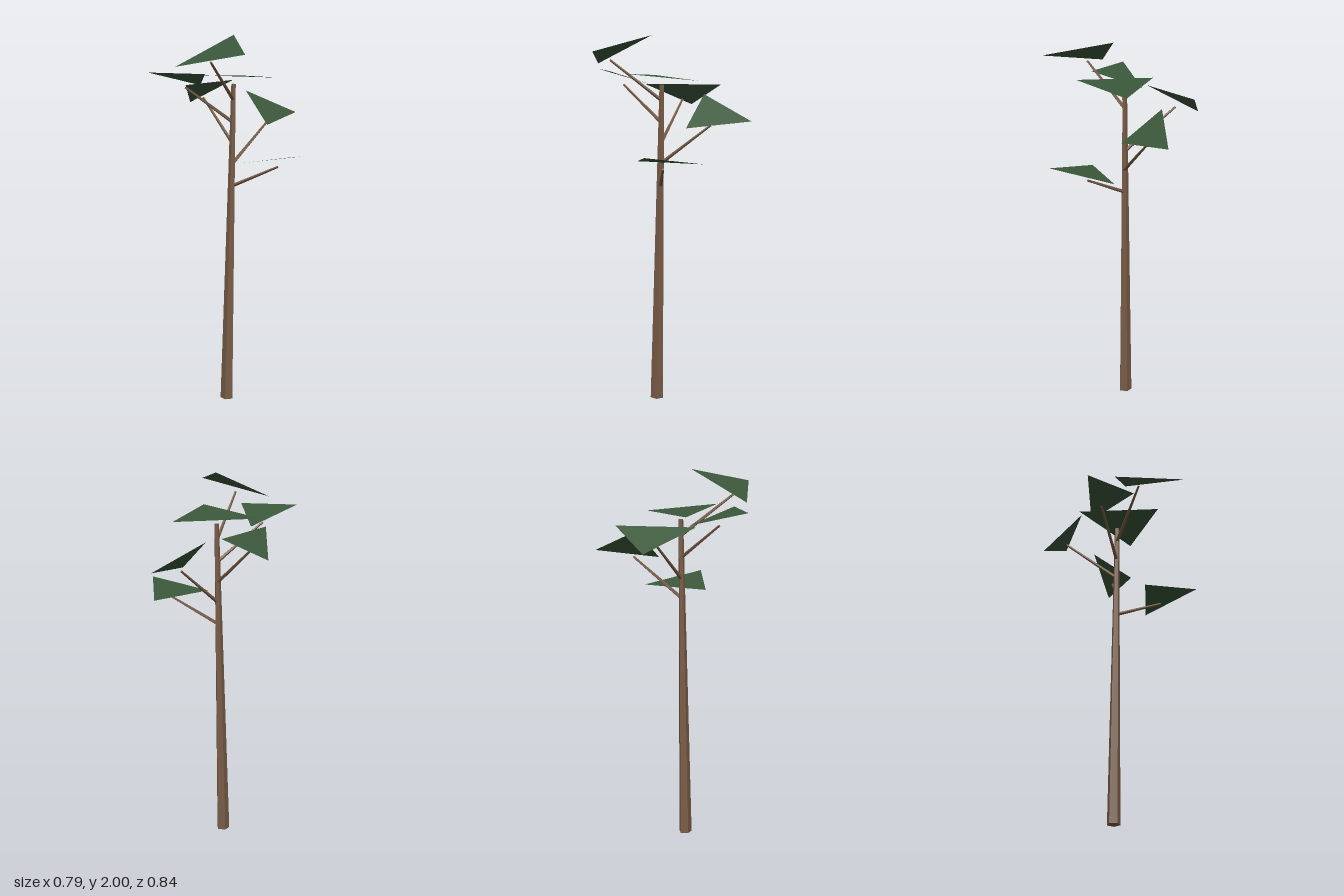
import * as THREE from 'three';

export function createModel() {
  const tree = new THREE.Group();
  tree.name = 'tree';
  const bark = new THREE.MeshStandardMaterial({ color: 0x7a5d47, flatShading: true });
  bark.name = 'bark brown';
  const green = new THREE.MeshStandardMaterial({ color: 0x3b583b, flatShading: true, side: THREE.DoubleSide });
  green.name = 'leaf green';

  // Tapered low-poly limb between two points
  function limb(name, from, to, r0, r1, sides) {
    const a = new THREE.Vector3(...from), b = new THREE.Vector3(...to);
    const dir = b.clone().sub(a);
    const geo = new THREE.CylinderGeometry(r1, r0, dir.length(), sides);
    const mesh = new THREE.Mesh(geo, bark);
    mesh.name = name;
    mesh.position.copy(a).add(b).multiplyScalar(0.5);
    mesh.quaternion.setFromUnitVectors(new THREE.Vector3(0, 1, 0), dir.normalize());
    tree.add(mesh);
  }

  // Flat triangular leaf, wound so that its front faces up
  function leaf(name, corners) {
    const [a, b, c] = corners.map(p => new THREE.Vector3(...p));
    const up = b.clone().sub(a).cross(c.clone().sub(a)).y > 0;
    const geo = new THREE.BufferGeometry().setFromPoints(up ? [a, b, c] : [a, c, b]);
    geo.computeVertexNormals();
    const mesh = new THREE.Mesh(geo, green);
    mesh.name = name;
    tree.add(mesh);
  }

  // Slightly leaning trunk
  limb('trunk', [-0.052, 0.001, 0.035], [-0.018, 1.74, 0.014], 0.036, 0.013, 5);

  // Branches: name, root, tip
  const branches = [
    ['lowerLeftBranch', [-0.025, 1.195, 0.02], [0.24, 1.316, 0.065]],
    ['backLeftBranch', [-0.02, 1.32, 0.016], [0.108, 1.528, -0.223]],
    ['backRightBranch', [-0.025, 1.425, 0.016], [-0.245, 1.645, -0.155]],
    ['frontRightBranch', [-0.02, 1.535, 0.015], [-0.23, 1.73, 0.18]],
    ['frontBranch', [-0.02, 1.655, 0.014], [-0.055, 1.87, 0.286]],
  ];
  for (const [name, root, tip] of branches) limb(name, root, tip, 0.01, 0.006, 5);

  // Leaves: one above each branch and one on the trunk top
  leaf('lowerLeftLeaf', [[0.282, 1.342, -0.14], [0.393, 1.395, 0.197], [0.066, 1.342, 0.165]]);
  leaf('backLeftLeaf', [[-0.022, 1.685, -0.22], [0.21, 1.553, -0.418], [0.14, 1.517, -0.08]]);
  leaf('backRightLeaf', [[-0.35, 1.61, -0.233], [-0.135, 1.73, -0.345], [-0.275, 1.73, 0.05]]);
  leaf('frontRightLeaf', [[-0.393, 1.812, 0.295], [-0.087, 1.81, 0.285], [-0.2, 1.73, 0.03]]);
  leaf('crownLeaf', [[-0.26, 1.78, 0], [0.178, 1.766, -0.14], [0.11, 1.803, 0.235]]);
  leaf('frontLeaf', [[0, 2, 0.072], [-0.235, 1.846, 0.32], [0.166, 1.92, 0.417]]);

  return tree;
}
